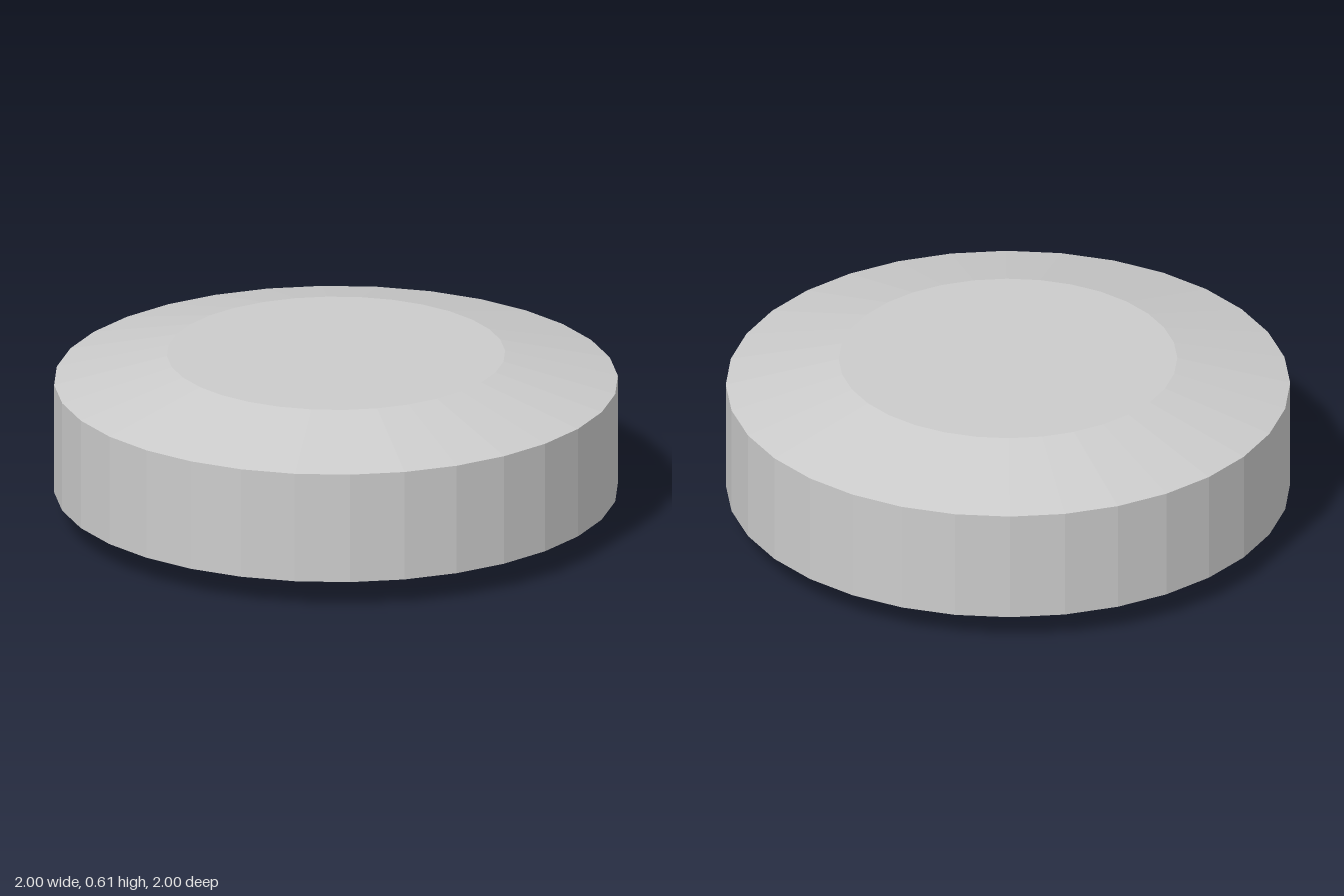
import * as THREE from 'three';

const SIDES = 32;

export function createModel() {
  const group = new THREE.Group();
  group.name = 'disc';

  // Corner radii, so that the flats of the polygon lie at 1 and 0.6
  const k = 1 / Math.cos(Math.PI / SIDES);
  const rim = k, cap = 0.6 * k;

  // Profile from the bottom centre, over both bevels, to the top centre
  const profile = [[0, 0], [cap, 0], [rim, 0.102], [rim, 0.508], [cap, 0.61], [0, 0.61]]
    .map(([r, y]) => new THREE.Vector2(r, y));

  // Half a step of turn puts flats on the x and z axes
  const body = new THREE.Mesh(
    new THREE.LatheGeometry(profile, SIDES, Math.PI / SIDES),
    new THREE.MeshStandardMaterial({ color: 0xcccccc, flatShading: true })
  );
  body.name = 'bevelledDisc';
  group.add(body);
  return group;
}
